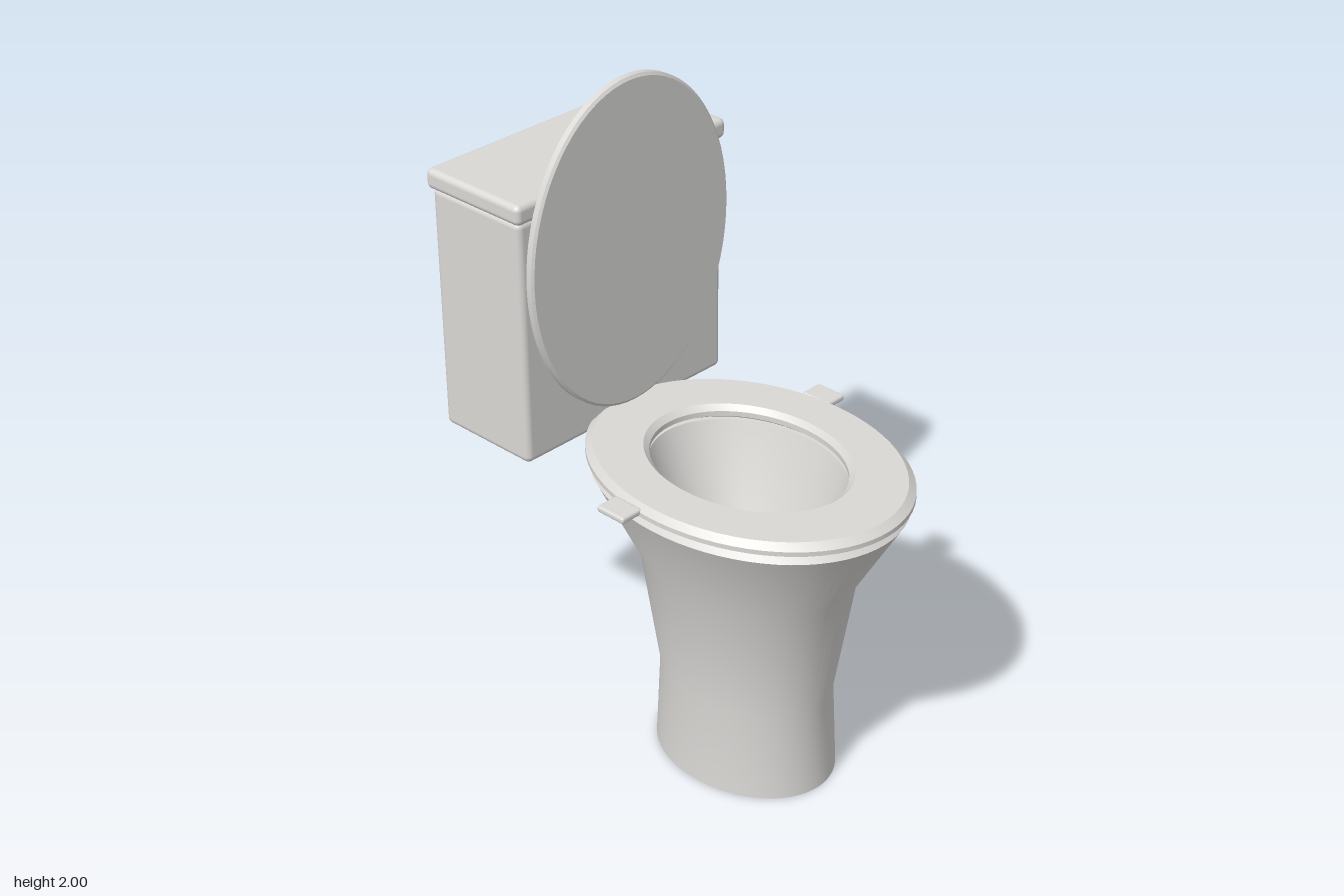
import * as THREE from 'three';
import { toCreasedNormals } from 'three/addons/utils/BufferGeometryUtils.js';
import { RoundedBoxGeometry } from 'three/addons/geometries/RoundedBoxGeometry.js';

const STRETCH = 1.3;   // oval length over width
const BOWL_Z = 0.16;   // centre of the bowl

export function createModel() {
  const model = new THREE.Group();
  const ceramic = new THREE.MeshStandardMaterial({ color: 0xd9d8d5 });
  ceramic.name = 'ceramic';
  const water = new THREE.MeshStandardMaterial({ color: 0xbfd8e2 });
  water.name = 'water';

  function add(name, geometry, x, y, z, material = ceramic) {
    const mesh = new THREE.Mesh(geometry, material);
    mesh.name = name;
    mesh.position.set(x, y, z);
    model.add(mesh);
    return mesh;
  }

  // Turned profile (radius, height), stretched to an oval, with sharp rims
  function oval(profile, stretch = STRETCH) {
    const points = profile.map(([r, y]) => new THREE.Vector2(r, y));
    const geometry = new THREE.LatheGeometry(points, 72);
    geometry.scale(1, 1, stretch);
    return toCreasedNormals(geometry, 0.45);
  }

  // Pedestal and bowl: up the outside, over the rim, down the inside
  add('bowl', oval([
    [0, 0], [0.226, 0], [0.215, 0.28], [0.265, 0.67], [0.382, 0.935],
    [0.368, 0.956], [0.238, 0.956], [0.195, 0.8], [0.138, 0.65], [0, 0.65],
  ]), 0, 0, BOWL_Z);

  // Water surface
  const pool = new THREE.CircleGeometry(0.138, 72);
  pool.rotateX(-Math.PI / 2);
  pool.scale(1, 1, STRETCH);
  add('water', pool, 0, 0.653, BOWL_Z, water);

  // Seat ring with bevelled edges
  add('seat', oval([
    [0.25, 0.957], [0.376, 0.957], [0.391, 0.968], [0.391, 0.982], [0.373, 1],
    [0.25, 1], [0.236, 0.984], [0.236, 0.968], [0.25, 0.957],
  ]), 0, 0, BOWL_Z);

  // Side tabs on the seat
  for (const side of [1, -1]) {
    add(side > 0 ? 'leftTab' : 'rightTab',
      new RoundedBoxGeometry(0.075, 0.02, 0.1, 2, 0.008), side * 0.4165, 0.98, 0.073);
  }

  // Raised oval lid
  const lid = add('lid', oval([
    [0, -0.015], [0.375, -0.015], [0.382, -0.009], [0.382, 0.009], [0.375, 0.015], [0, 0.015],
  ]), 0, 1.504, -0.29);
  lid.rotation.x = Math.PI / 2;

  // Cistern, its cover and the flush button
  add('tank', new RoundedBoxGeometry(0.785, 0.745, 0.345, 3, 0.02), 0, 1.318, -0.483);
  add('tankCover', new RoundedBoxGeometry(0.804, 0.06, 0.368, 3, 0.018), 0, 1.715, -0.485);
  add('flushButton', new THREE.CylinderGeometry(0.049, 0.049, 0.02, 40), 0, 1.747, -0.485);

  return model;
}
